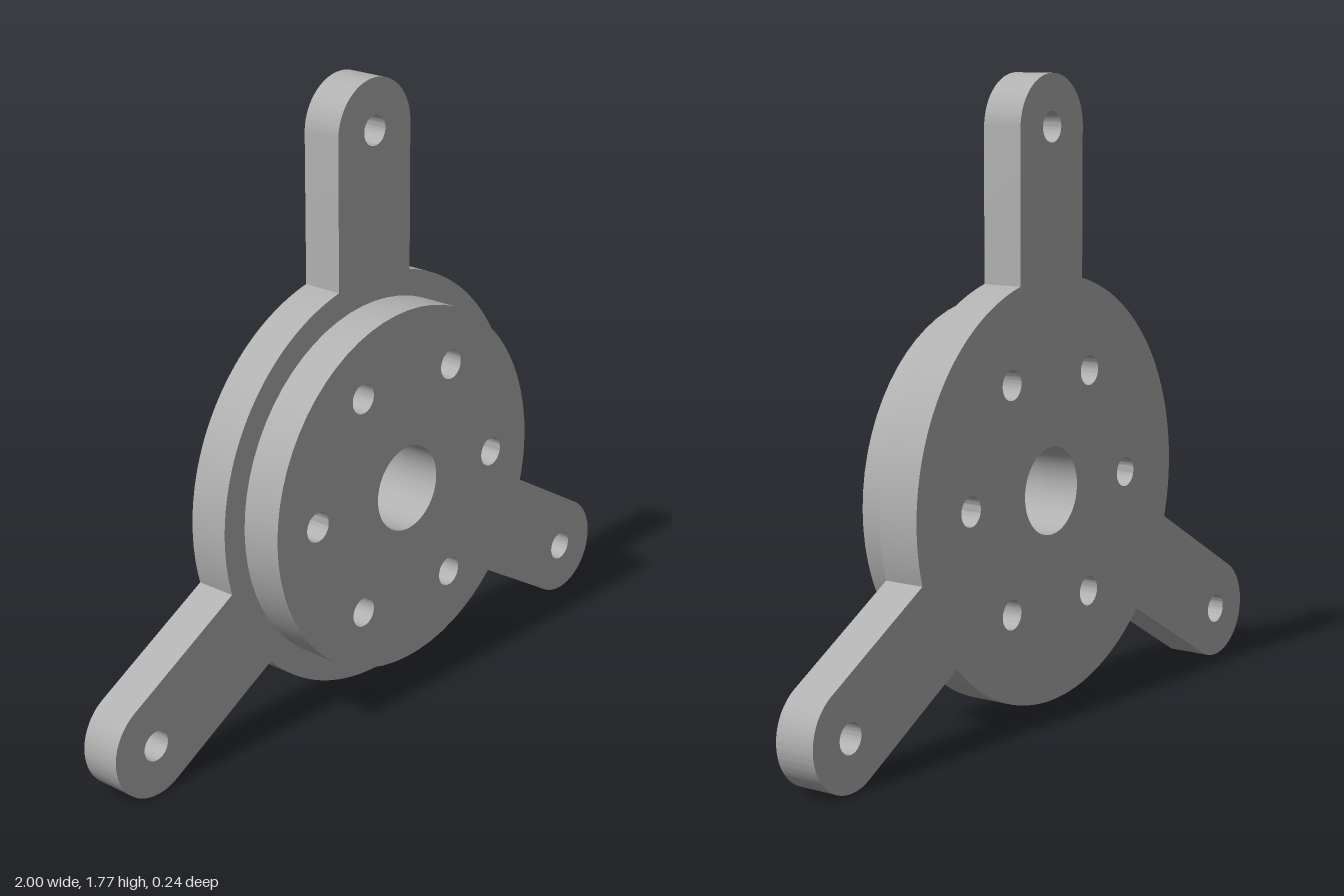
import * as THREE from 'three';
import { toCreasedNormals } from 'three/addons/utils/BufferGeometryUtils.js';

const CENTER_Y = 0.638;
const HUB_R = 0.59, BOSS_R = 0.516, BORE_R = 0.122;
const BOLT_CIRCLE = 0.361, HOLE_R = 0.042;
const ARM_LENGTH = 0.99, ARM_R = 0.143;
const THICKNESS = 0.12;

function addHole(shape, x, y, r) {
  const hole = new THREE.Path();
  hole.absarc(x, y, r, 0, Math.PI * 2, true);
  shape.holes.push(hole);
}

// Central bore and the ring of six bolt holes
function addHubHoles(shape) {
  addHole(shape, 0, 0, BORE_R);
  for (let i = 0; i < 6; i++) {
    const a = i * Math.PI / 3;
    addHole(shape, BOLT_CIRCLE * Math.cos(a), BOLT_CIRCLE * Math.sin(a), HOLE_R);
  }
}

function extrude(name, shape, z, material) {
  const geometry = new THREE.ExtrudeGeometry(shape, {
    depth: THICKNESS, bevelEnabled: false, curveSegments: 32,
  });
  const mesh = new THREE.Mesh(toCreasedNormals(geometry, 0.4), material);
  mesh.name = name;
  mesh.position.set(0, CENTER_Y, z);
  return mesh;
}

export function createModel() {
  const group = new THREE.Group();
  group.name = 'threeArmFlange';
  const metal = new THREE.MeshStandardMaterial({ color: 0xb0b0b0 });
  metal.name = 'grey metal';

  // Back plate: round hub with three round-ended arms
  const plate = new THREE.Shape();
  const half = Math.asin(ARM_R / HUB_R);
  for (let i = 0; i < 3; i++) {
    const a = Math.PI / 2 + i * Math.PI * 2 / 3;
    const x = ARM_LENGTH * Math.cos(a), y = ARM_LENGTH * Math.sin(a);
    if (i === 0) plate.moveTo(HUB_R * Math.cos(a - half), HUB_R * Math.sin(a - half));
    plate.absarc(x, y, ARM_R, a - Math.PI / 2, a + Math.PI / 2, false);
    plate.absarc(0, 0, HUB_R, a + half, a + Math.PI * 2 / 3 - half, false);
    addHole(plate, x, y, HOLE_R);
  }
  addHubHoles(plate);
  group.add(extrude('armPlate', plate, -THICKNESS, metal));

  // Raised round boss on the front
  const boss = new THREE.Shape();
  boss.absarc(0, 0, BOSS_R, 0, Math.PI * 2, false);
  addHubHoles(boss);
  group.add(extrude('frontBoss', boss, 0, metal));

  return group;
}
